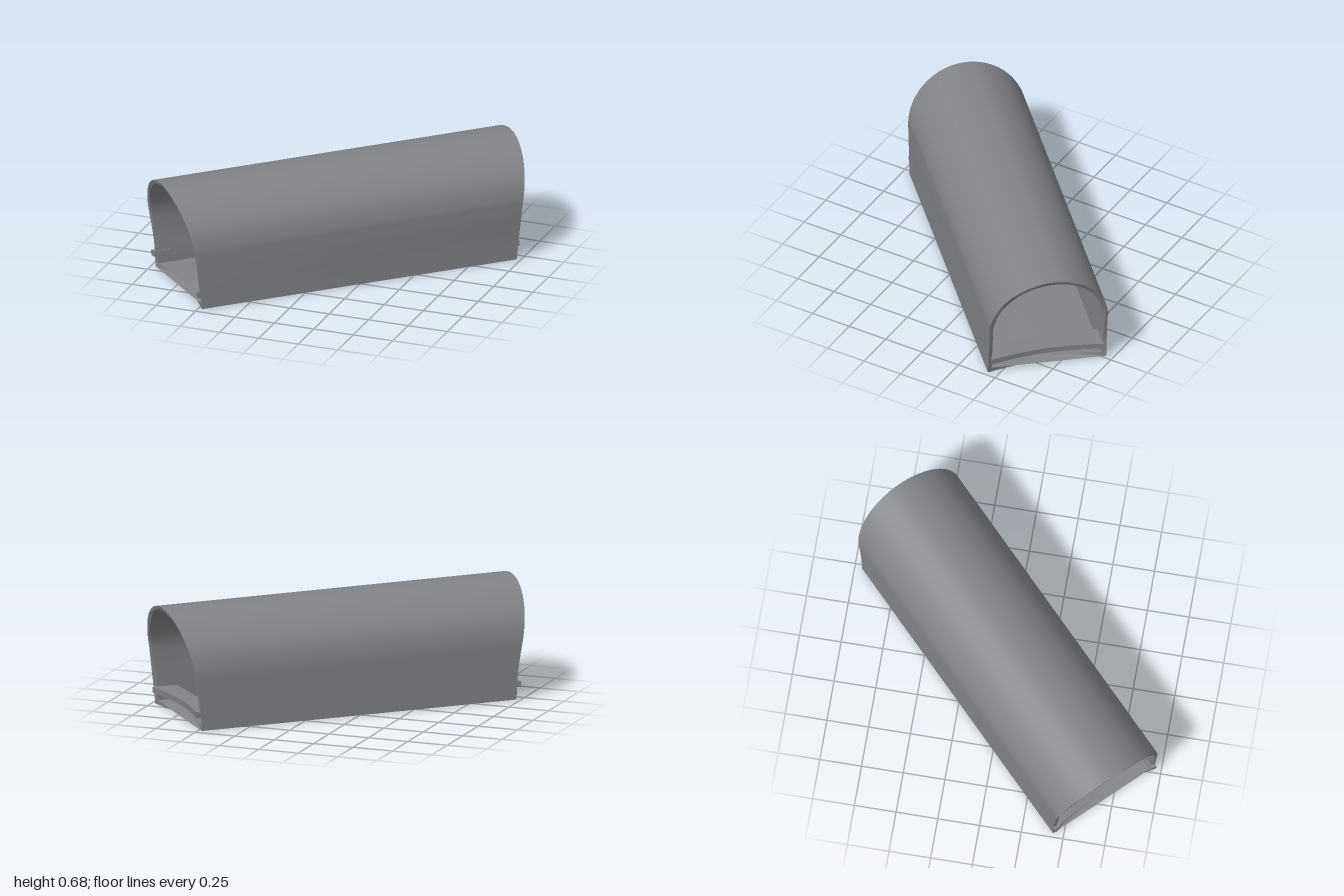
import * as THREE from 'three';
import { toCreasedNormals } from 'three/addons/utils/BufferGeometryUtils.js';

const HALF = 0.36;       // half width and arch radius
const HEIGHT = 0.68;
const WALL = 0.026;
const R = 1.6;           // radius of the spheres that hollow both ends
const REACH = 0.965;     // half length along the floor's centre line

// Distance from the middle to the spherical end cut.
const endAt = (x, y) => REACH + R - Math.sqrt(R * R - x * x - y * y);

// Arched outline with a finely divided floor, inset by t.
function archPoints(t) {
  const r = HALF - t, spring = HEIGHT - HALF, pts = [];
  const floorSteps = 12, wallSteps = 5, arcSteps = 36;
  for (let i = 0; i < floorSteps; i++) pts.push(new THREE.Vector2(-r + (2 * r * i) / floorSteps, t));
  for (let i = 0; i < wallSteps; i++) pts.push(new THREE.Vector2(r, t + ((spring - t) * i) / wallSteps));
  for (let i = 0; i <= arcSteps; i++) {
    const a = (Math.PI * i) / arcSteps;
    pts.push(new THREE.Vector2(r * Math.cos(a), spring + r * Math.sin(a)));
  }
  for (let i = wallSteps - 1; i > 0; i--) pts.push(new THREE.Vector2(-r, t + ((spring - t) * i) / wallSteps));
  return pts;
}

// Moves the two end faces of a geometry to the given depth rules.
function fitEnds(geometry, front, back) {
  const p = geometry.attributes.position;
  for (let i = 0; i < p.count; i++) {
    const x = p.getX(i), y = p.getY(i);
    p.setZ(i, p.getZ(i) > 0 ? front(x, y) : back(x, y));
  }
  return toCreasedNormals(geometry, 0.6);
}

export function createModel() {
  const model = new THREE.Group();
  model.name = 'tunnelSection';
  const grey = new THREE.MeshStandardMaterial({ color: 0x818387 });
  grey.name = 'grey';

  const body = new THREE.Group();
  body.name = 'tunnel';
  body.rotation.y = -0.806;
  model.add(body);

  const add = (geometry, name) => {
    const mesh = new THREE.Mesh(geometry, grey);
    mesh.name = name;
    body.add(mesh);
  };

  // Hollow arched tube
  const shape = new THREE.Shape(archPoints(0));
  shape.holes.push(new THREE.Path(archPoints(WALL)));
  const tube = new THREE.ExtrudeGeometry(shape, { depth: 2, bevelEnabled: false });
  tube.translate(0, 0, -1);
  add(fitEnds(tube, endAt, (x, y) => -endAt(x, y)), 'archedShell');

  // Curved lip across the far end
  const lip = new THREE.BoxGeometry(0.68, 0.035, 1, 12, 1, 1);
  lip.translate(0, 0.092, 0);
  add(fitEnds(lip, () => -0.88, (x, y) => -endAt(x, y) - 0.028), 'doorwayLip');

  // Small tabs on both walls of the near end
  for (const side of [-1, 1]) {
    const tab = new THREE.BoxGeometry(0.034, 0.035, 1);
    tab.translate(side * 0.341, 0.092, 0);
    add(fitEnds(tab, (x, y) => endAt(x, y) + 0.025, () => 0.92), side > 0 ? 'leftTab' : 'rightTab');
  }
  return model;
}
